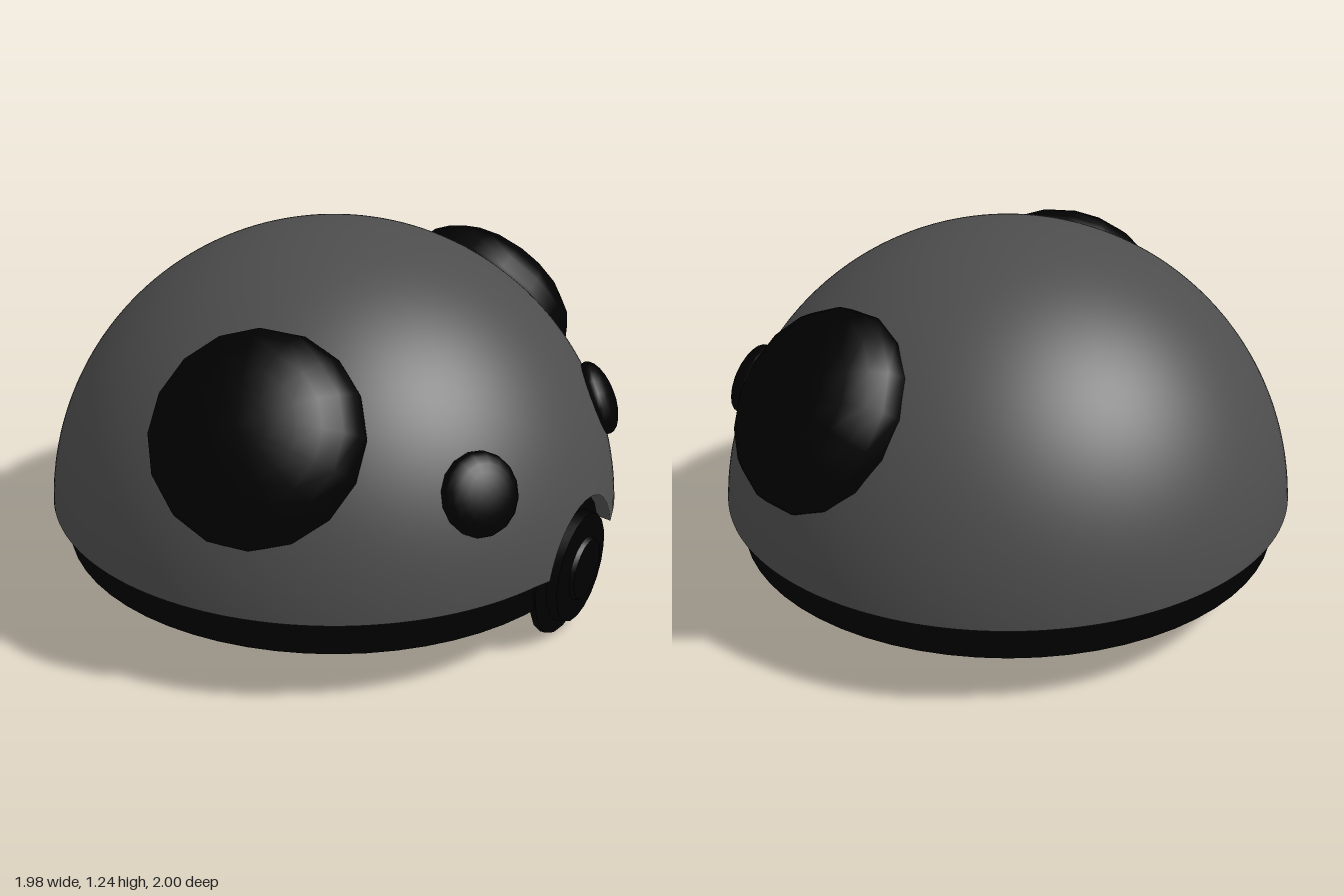
import * as THREE from 'three';
import { toCreasedNormals } from 'three/addons/utils/BufferGeometryUtils.js';

const R = 0.995, CY = 0.245, RIM = 0.31, NOSE_Y = 0.24, INNER = 0.945;

export function createModel() {
  const group = new THREE.Group();
  const grey = new THREE.MeshStandardMaterial({ name: 'shellGrey', color: 0x4d4d4d });
  const black = new THREE.MeshStandardMaterial({ name: 'black', color: 0x000000 });
  const liningBlack = black.clone();
  liningBlack.side = THREE.DoubleSide;

  const add = (name, geometry, material, x = 0, y = 0, z = 0) => {
    const mesh = new THREE.Mesh(geometry, material);
    mesh.name = name;
    mesh.position.set(x, y, z);
    group.add(mesh);
    return mesh;
  };

  // Sink the shell into a clean round recess behind the nose
  const recess = (geometry) => {
    const p = geometry.attributes.position;
    for (let i = 0; i < p.count; i++) {
      const dy = p.getY(i) - NOSE_Y, z = p.getZ(i), d = Math.hypot(dy, z);
      if (p.getX(i) < 0.9 || d > 0.285) continue;
      const inside = d < 0.243;
      const k = inside ? (d > 0.2 ? 0.241 / d : 1) : 0.245 / d;
      const y = NOSE_Y + dy * k;
      const x = inside ? 0.9 : Math.sqrt(R * R - (y - CY) ** 2 - (z * k) ** 2);
      p.setXYZ(i, x, y, z * k);
    }
    return geometry;
  };

  // Domed shell
  const dome = new THREE.SphereGeometry(R, 144, 90, 0, Math.PI * 2, 0, Math.acos((RIM - CY) / R));
  add('domeShell', recess(dome.translate(0, CY, 0)), grey);

  // Dark lip under the rim, cut away behind the nose
  const rimR = Math.sqrt(R * R - (RIM - CY) ** 2), gap = 0.245;
  const lip = new THREE.RingGeometry(0.93, rimR, 96, 1, gap, Math.PI * 2 - gap * 2);
  add('shellLip', lip.rotateX(Math.PI / 2), black, 0, RIM, 0);

  // Hollow lining: a short skirt below the rim that runs up into an inner dome
  const section = [new THREE.Vector2(INNER, 0.18)];
  for (let i = 0; i <= 24; i++) {
    const a = (i / 24) * Math.PI / 2;
    section.push(new THREE.Vector2(INNER * Math.cos(a), CY + INNER * Math.sin(a)));
  }
  add('baseLining', new THREE.LatheGeometry(section, 64), liningBlack);

  // Flattened domes lying on the shell, facing away from its centre
  const pad = (name, radius, height, x, y, z) => {
    const geometry = new THREE.SphereGeometry(radius, 16, 12).scale(1, height / radius, 1);
    const out = new THREE.Vector3(x, y - CY, z).normalize();
    add(name, geometry, black, x, y, z).quaternion.setFromUnitVectors(new THREE.Vector3(0, 1, 0), out);
  };

  // Ears and eyes, mirrored across z
  for (const s of [1, -1]) {
    const side = s > 0 ? 'front' : 'back';
    pad(side + 'Ear', 0.34, 0.2, 0.208, 0.803, 0.74 * s);
    pad(side + 'Eye', 0.132, 0.06, 0.804, 0.65, 0.43 * s);
  }

  // Stepped round nose facing +x
  const profile = [
    [0, 0.9], [0.24, 0.9], [0.239, 0.92], [0.19, 0.935], [0.185, 0.968],
    [0.11, 0.976], [0.102, 0.99], [0, 0.992],
  ].map(([r, h]) => new THREE.Vector2(r, h));
  const nose = toCreasedNormals(new THREE.LatheGeometry(profile, 20), 0.6);
  add('nose', nose, black, 0, NOSE_Y, 0).rotation.z = -Math.PI / 2;

  return group;
}
